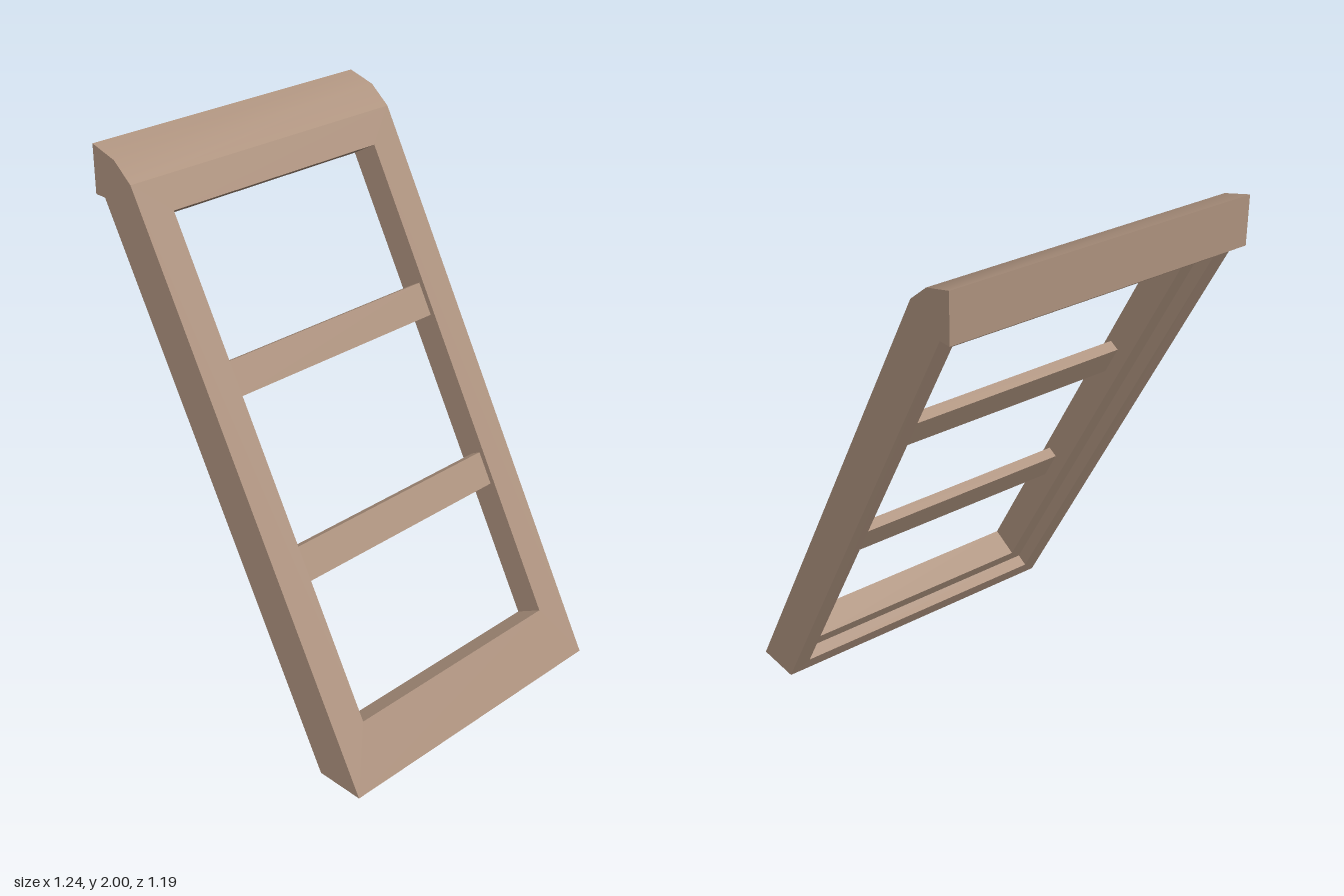
import * as THREE from 'three';

const HALF = 0.593;      // half width of the frame along z
const OPEN = 0.467;      // half width of the opening
const REBATE = 0.06;     // width of the step around the back of the opening
const STEP = 0.114;      // depth at which the step sits
const THICK = 0.162;     // thickness of the frame

// Side profile, counter-clockwise, starting at the foot of the sloping face
const PROFILE = [
  [0.615, 0], [-0.43, 1.905], [-0.51, 1.97], [-0.62, 2],
  [-0.62, 1.825], [-0.573, 1.825], [0.43, 0],
];
const TILT = Math.atan2(1.045, 1.905);

// Point on the slope: u runs up the sloping face, d runs into it
function onSlope(u, d) {
  const s = Math.sin(TILT), c = Math.cos(TILT);
  return [0.615 - s * u - c * d, c * u - s * d];
}

// Rectangular loop from a bottom and a top point
function loop(bottom, top, z) {
  return [[...bottom, z], [...bottom, -z], [...top, -z], [...top, z]];
}

function flatQuads(quads) {
  const pos = quads.flatMap(([a, b, c, d]) => [a, b, c, a, c, d].flat());
  const g = new THREE.BufferGeometry();
  g.setAttribute('position', new THREE.Float32BufferAttribute(pos, 3));
  g.computeVertexNormals();
  return g;
}

// Quad swept across the width from one profile edge
function edgeQuad(i) {
  const p = PROFILE[i], q = PROFILE[(i + 1) % PROFILE.length];
  return [[...p, HALF], [...p, -HALF], [...q, -HALF], [...q, HALF]];
}

export function createModel() {
  const group = new THREE.Group();
  const wood = new THREE.MeshStandardMaterial({ color: 0xae937f });
  wood.name = 'wood';
  const add = (name, geometry) => {
    const mesh = new THREE.Mesh(geometry, wood);
    mesh.name = name;
    group.add(mesh);
    return mesh;
  };

  // Frame: front face, reveal, step, rebate wall and back face
  const lo = 0.222, hi = 2.053;
  const loops = [
    loop(PROFILE[0], PROFILE[1], HALF),
    loop(onSlope(lo, 0), onSlope(hi, 0), OPEN),
    loop(onSlope(lo, STEP), onSlope(hi, STEP), OPEN),
    loop(onSlope(lo - REBATE, STEP), onSlope(hi + REBATE, STEP), OPEN + REBATE),
    loop(onSlope(lo - REBATE, THICK), onSlope(hi + REBATE, THICK), OPEN + REBATE),
    loop(PROFILE[6], PROFILE[5], HALF),
  ];
  const quads = [];
  for (let k = 0; k < loops.length - 1; k++) {
    for (let i = 0; i < 4; i++) {
      const j = (i + 1) % 4;
      quads.push([loops[k][i], loops[k][j], loops[k + 1][j], loops[k + 1][i]]);
    }
  }
  add('frame', flatQuads(quads));

  // Hooked top edge and flat foot
  add('topHook', flatQuads([edgeQuad(3), edgeQuad(4)]));
  add('foot', flatQuads([edgeQuad(6)]));

  // Smoothly rounded cap along the top
  const cap = new THREE.BufferGeometry();
  const capPoints = PROFILE.slice(1, 4).flatMap((p) => [...p, HALF, ...p, -HALF]);
  cap.setAttribute('position', new THREE.Float32BufferAttribute(capPoints, 3));
  cap.setIndex([0, 1, 3, 0, 3, 2, 2, 3, 5, 2, 5, 4]);
  cap.computeVertexNormals();
  add('roundedCap', cap);

  // Flat sides of the frame
  const shape = new THREE.Shape(PROFILE.map(([x, y]) => new THREE.Vector2(x, y)));
  for (const side of [1, -1]) {
    const g = new THREE.ShapeGeometry(shape);
    g.translate(0, 0, side * HALF);
    if (side < 0) {
      g.setIndex(Array.from(g.index.array).reverse());
      g.computeVertexNormals();
    }
    add(side > 0 ? 'frontSide' : 'backSide', g);
  }

  // Two cross slats set just behind the sloping face
  [1.527, 0.86].forEach((top, i) => {
    const slat = add(i ? 'lowerSlat' : 'upperSlat', new THREE.BoxGeometry(0.042, 0.125, OPEN * 2));
    const [x, y] = onSlope(top - 0.0625, 0.041);
    slat.position.set(x, y, 0);
    slat.rotation.z = TILT;
  });

  return group;
}
